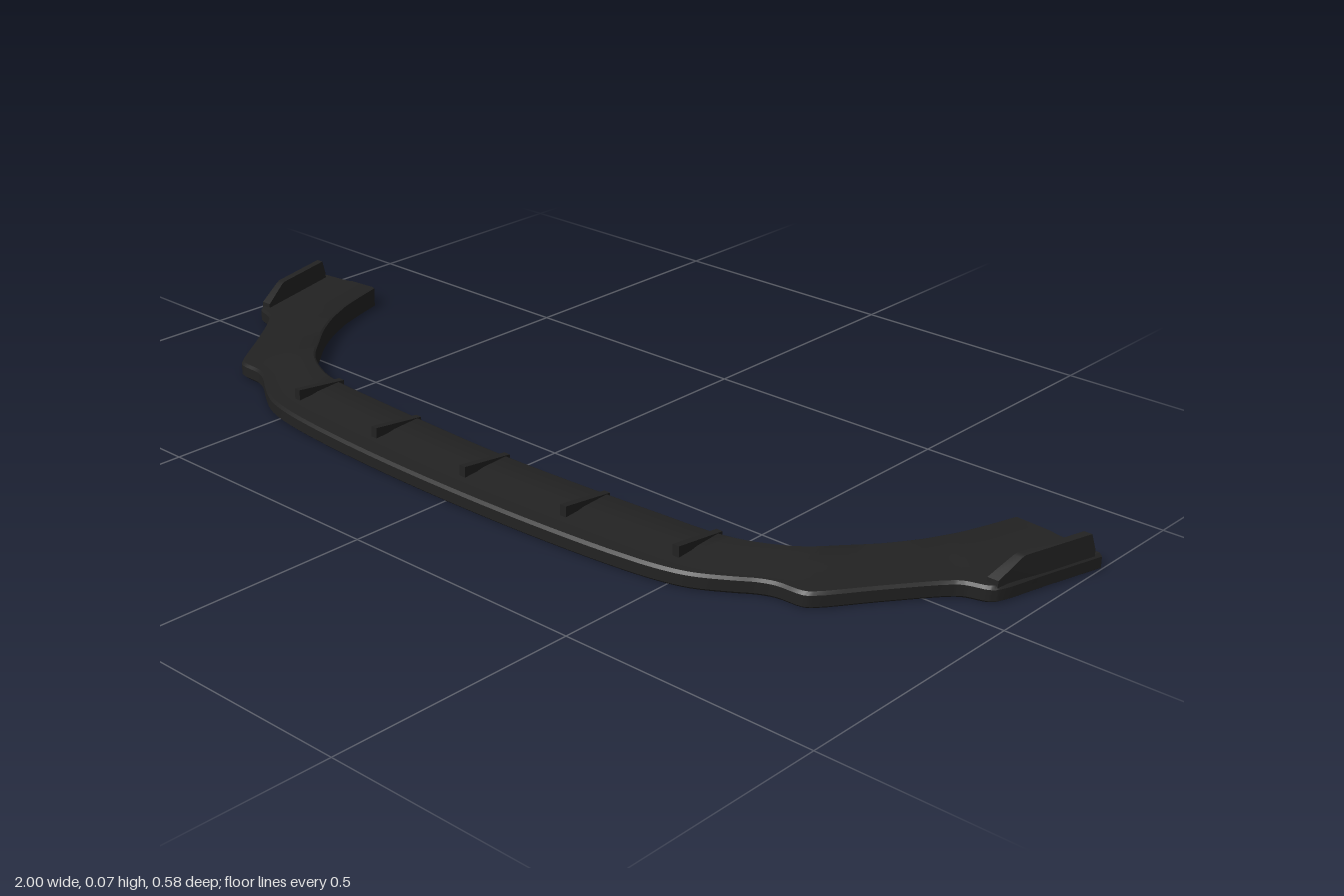
import * as THREE from 'three';
import { toCreasedNormals } from 'three/addons/utils/BufferGeometryUtils.js';

const material = new THREE.MeshStandardMaterial({ color: 0x222222 });

// Half plan of the blade: [outer x, outer z, inner x, inner z] from the middle to the tip
const plan = [
  [0, 0.29, 0, 0.136], [0.2, 0.286, 0.2, 0.13], [0.38, 0.274, 0.38, 0.12],
  [0.48, 0.26, 0.47, 0.114], [0.54, 0.242, 0.53, 0.102], [0.6, 0.206, 0.575, 0.083],
  [0.635, 0.182, 0.605, 0.066], [0.665, 0.17, 0.63, 0.047], [0.717, 0.166, 0.655, 0.02],
  [0.732, 0.156, 0.672, 0.0], [0.8, 0.062, 0.715, -0.05], [0.876, -0.036, 0.755, -0.11],
  [0.893, -0.048, 0.768, -0.135], [0.93, -0.06, 0.78, -0.16], [0.941, -0.072, 0.787, -0.175],
  [0.97, -0.18, 0.806, -0.23], [1, -0.293, 0.825, -0.293],
];

// Cross-section: [fraction from outer to inner edge, height]
const section = [
  [0.03, 0], [0, 0.004], [0, 0.025], [0.03, 0.031], [0.5, 0.036],
  [0.6, 0.039], [0.97, 0.042], [1, 0.04], [1, 0],
];

function mesh(name, geometry, angle = 0.5) {
  const m = new THREE.Mesh(toCreasedNormals(geometry, angle), material);
  m.name = name;
  return m;
}

// Curved blade, lofted between its outer and inner edges
function bladeGeometry() {
  const full = [...plan.slice(1).reverse().map(([a, b, c, d]) => [-a, b, -c, d]), ...plan];
  const edge = (k) => new THREE.CatmullRomCurve3(
    full.map((p) => new THREE.Vector3(p[k], 0, p[k + 1])), false, 'centripetal');
  const outer = edge(0), inner = edge(2);
  const steps = (full.length - 1) * 4, n = section.length;
  const positions = [], index = [];
  for (let i = 0; i <= steps; i++) {
    const o = outer.getPoint(i / steps), e = inner.getPoint(i / steps);
    for (const [t, y] of section) {
      const p = o.clone().lerp(e, t);
      positions.push(p.x, y, p.z);
    }
  }
  for (let i = 0; i < steps; i++) {
    for (let j = 0; j < n; j++) {
      const k = (j + 1) % n;
      const a = i * n + j, b = a + n, c = (i + 1) * n + k, d = i * n + k;
      index.push(a, b, c, a, c, d);
    }
  }
  // Flat caps at both tips
  const last = steps * n;
  for (let j = 1; j < n - 1; j++) {
    index.push(0, j, j + 1, last, last + j + 1, last + j);
  }
  const g = new THREE.BufferGeometry();
  g.setAttribute('position', new THREE.Float32BufferAttribute(positions, 3));
  g.setIndex(index);
  return g;
}

// Plate with a side profile in [z, y], extruded across x and centred on it
function sidePlate(profile, thickness) {
  const shape = new THREE.Shape(profile.map(([z, y]) => new THREE.Vector2(-z, y)));
  const g = new THREE.ExtrudeGeometry(shape, { depth: thickness, bevelEnabled: false });
  return g.translate(0, 0, -thickness / 2).rotateY(Math.PI / 2);
}

// Upright fence that follows the slanted outer edge and narrows toward its top
function fenceGeometry(side) {
  const g = sidePlate([[-0.07, 0.02], [-0.072, 0.04], [-0.122, 0.068], [-0.13, 0.071],
    [-0.273, 0.071], [-0.28, 0.042], [-0.28, 0.02]], 0.024);
  const p = g.attributes.position;
  for (let i = 0; i < p.count; i++) {
    const edge = 0.941 + (-0.072 - p.getZ(i)) * 0.266;
    const taper = 1 - Math.max(0, p.getY(i) - 0.03) * 8;
    p.setX(i, side * (edge - 0.014) + p.getX(i) * taper);
  }
  return g;
}

export function createModel() {
  const group = new THREE.Group();
  group.name = 'frontSplitter';
  group.add(mesh('blade', bladeGeometry()));

  for (const side of [1, -1]) {
    group.add(mesh(side > 0 ? 'leftFence' : 'rightFence', fenceGeometry(side)));
  }

  // Small wedge fins spaced along the top
  for (const x of [-0.487, -0.244, 0, 0.244, 0.487]) {
    const z = 0.243 - 0.11 * x * x;
    const fin = mesh('fin', sidePlate(
      [[z, 0.028], [z, 0.055], [z - 0.115, 0.042], [z - 0.115, 0.03]].reverse(), 0.014));
    fin.position.x = x;
    group.add(fin);
  }
  return group;
}
